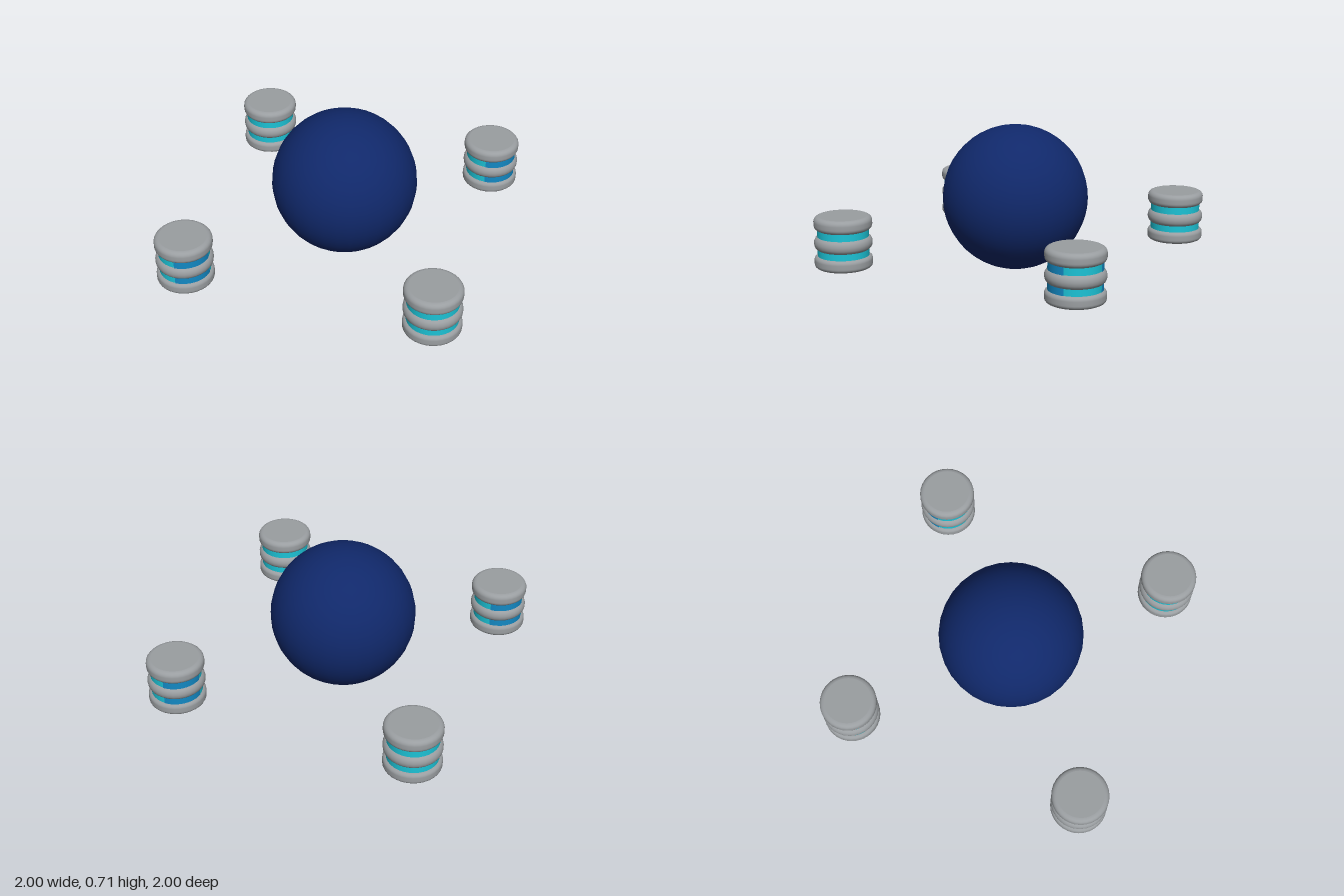
import * as THREE from 'three';

const paint = (name, color) => {
  const m = new THREE.MeshStandardMaterial({ color });
  m.name = name;
  return m;
};

const add = (parent, name, geometry, material, y = 0) => {
  const mesh = new THREE.Mesh(geometry, material);
  mesh.name = name;
  mesh.position.y = y;
  parent.add(mesh);
  return mesh;
};

// Disc with rounded rims, from y0 to y1; the flat caps keep sharp normals
function roundedDisc(radius, y0, y1, corner) {
  const pts = [new THREE.Vector2(0, y0), new THREE.Vector2(radius - corner, y0), new THREE.Vector2(radius - corner, y0)];
  const steps = 5;
  for (const [cy, start] of [[y0 + corner, -Math.PI / 2], [y1 - corner, 0]]) {
    for (let i = 0; i <= steps; i++) {
      const a = start + (i / steps) * Math.PI / 2;
      pts.push(new THREE.Vector2(radius - corner + Math.cos(a) * corner, cy + Math.sin(a) * corner));
    }
  }
  pts.push(new THREE.Vector2(radius - corner, y1), new THREE.Vector2(0, y1));
  return new THREE.LatheGeometry(pts, 32);
}

export function createModel() {
  const model = new THREE.Group();
  model.name = 'orbWithPods';

  const navy = paint('navy', 0x10286a);
  const grey = paint('grey', 0x9a9ea1);
  const cyan = paint('cyan', 0x1cc3d6);
  const blue = paint('blue', 0x1389c4);

  // Central orb
  add(model, 'orb', new THREE.SphereGeometry(0.357, 32, 24), navy, 0.358);

  // Shared pod pieces
  const discs = [
    roundedDisc(0.139, 0.077, 0.137, 0.02),
    roundedDisc(0.139, 0.163, 0.234, 0.032),
    roundedDisc(0.139, 0.262, 0.328, 0.024),
  ];
  const band = new THREE.CylinderGeometry(0.123, 0.123, 0.05, 32, 1, true);
  const arc = Math.PI * 0.5;
  const panel = new THREE.CylinderGeometry(0.125, 0.125, 0.05, 12, 1, true, -arc / 2, arc);

  // Four pods around the orb
  for (let i = 0; i < 4; i++) {
    const angle = i * Math.PI / 2;
    const pod = new THREE.Group();
    pod.name = 'pod';
    pod.position.set(Math.sin(angle) * 0.861, 0, Math.cos(angle) * 0.861);
    for (const disc of discs) add(pod, 'podDisc', disc, grey);

    // Glowing bands between the discs
    for (const y of [0.15, 0.248]) {
      add(pod, 'glowBand', band, cyan, y);
      // Blue panels on the front and back of the side pods
      if (i % 2) {
        for (const turn of [0, Math.PI]) {
          add(pod, 'bluePanel', panel, blue, y).rotation.y = turn;
        }
      }
    }
    model.add(pod);
  }
  return model;
}
